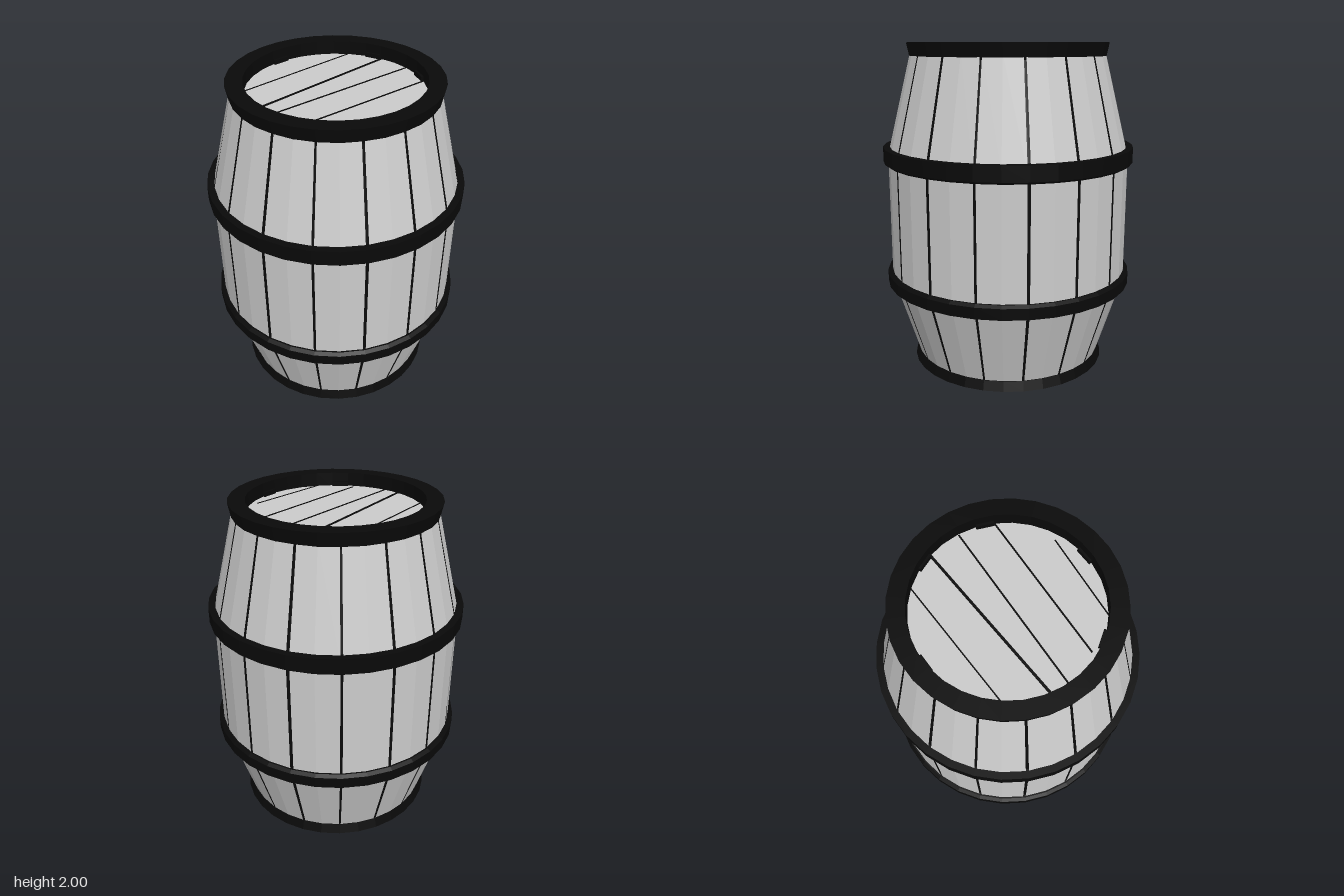
import * as THREE from 'three';

const SIDES = 32;
const STAVES = 16;
const wood = new THREE.MeshStandardMaterial({ color: 0xcccccc, flatShading: true, side: THREE.DoubleSide });
const iron = new THREE.MeshStandardMaterial({ color: 0x090909, flatShading: true, side: THREE.DoubleSide });

function lathe(name, profile, material, segments = SIDES, start = 0, length = Math.PI * 2) {
  const points = profile.map(([r, y]) => new THREE.Vector2(r, y));
  const mesh = new THREE.Mesh(new THREE.LatheGeometry(points, segments, start, length), material);
  mesh.name = name;
  return mesh;
}

function box(name, w, h, d, x, y, z, turn, material) {
  const mesh = new THREE.Mesh(new THREE.BoxGeometry(w, h, d), material);
  mesh.name = name;
  mesh.position.set(x, y, z);
  mesh.rotation.y = turn;
  return mesh;
}

export function createModel() {
  const barrel = new THREE.Group();
  barrel.name = 'barrel';

  // Side profile: straight belly with tapering ends
  const side = [[0.582, 0.03], [0.745, 0.55], [0.745, 1.33], [0.593, 1.94]];

  // Dark core that shows through the gaps between staves
  barrel.add(lathe('core', side.map(([r, y]) => [r - 0.01, y]), iron));

  // Staves, each two facets wide, with a narrow gap at either edge
  const staves = new THREE.Group();
  staves.name = 'staves';
  const step = (Math.PI * 2) / STAVES;
  const gap = (i) => [0.012, 0.013, 0.01, 0.012][i % 4];
  for (let i = 0; i < STAVES; i++) {
    const from = i * step + gap(i);
    const to = (i + 1) * step - gap(i + 1);
    staves.add(lathe('stave', side, wood, 2, from, to - from));
  }
  barrel.add(staves);

  // Belly hoops, chamfered on the edge that faces the middle
  barrel.add(lathe('lowerHoop',
    [[0.72, 0.52], [0.775, 0.52], [0.775, 0.588], [0.755, 0.602], [0.72, 0.602], [0.72, 0.52]], iron));
  barrel.add(lathe('upperHoop',
    [[0.72, 1.275], [0.755, 1.275], [0.775, 1.289], [0.775, 1.38], [0.72, 1.38], [0.72, 1.275]], iron));

  // Flared rim around the lid, and the closed base
  barrel.add(lathe('topRim',
    [[0.515, 1.9], [0.595, 1.908], [0.614, 2], [0.515, 2], [0.515, 1.9]], iron));
  barrel.add(lathe('base', [[0, 0], [0.614, 0], [0.595, 0.057], [0, 0.057]], iron));

  // Recessed lid
  const lidY = 1.92;
  const lid = new THREE.Mesh(new THREE.CircleGeometry(0.53, SIDES), wood);
  lid.name = 'lid';
  lid.rotation.x = -Math.PI / 2;
  lid.position.y = lidY;
  barrel.add(lid);

  // Slightly crooked seams between the lid planks: x1, z1, x2, z2, width
  const seams = [
    [-0.37, -0.36, -0.28, 0.43, 0.007],
    [-0.19, -0.48, -0.05, 0.51, 0.015],
    [0, -0.51, 0.05, 0.51, 0.009],
    [0.2, -0.48, 0.24, 0.42, 0.009],
    [0.425, -0.22, 0.425, 0.3, 0.007],
  ];
  for (const [x1, z1, x2, z2, w] of seams) {
    const dx = x2 - x1, dz = z2 - z1;
    barrel.add(box('lidSeam', w, 0.004, Math.hypot(dx, dz),
      (x1 + x2) / 2, lidY + 0.001, (z1 + z2) / 2, Math.atan2(dx, dz), iron));
  }

  // Small lugs inside the rim that hold the lid
  for (const [x, z] of [[0.15, -0.49], [-0.24, -0.455], [0.51, -0.055], [-0.51, 0.05], [0.325, 0.395]]) {
    barrel.add(box('lidLug', 0.1, 0.03, 0.03, x, lidY + 0.012, z, Math.atan2(x, z), iron));
  }
  return barrel;
}
